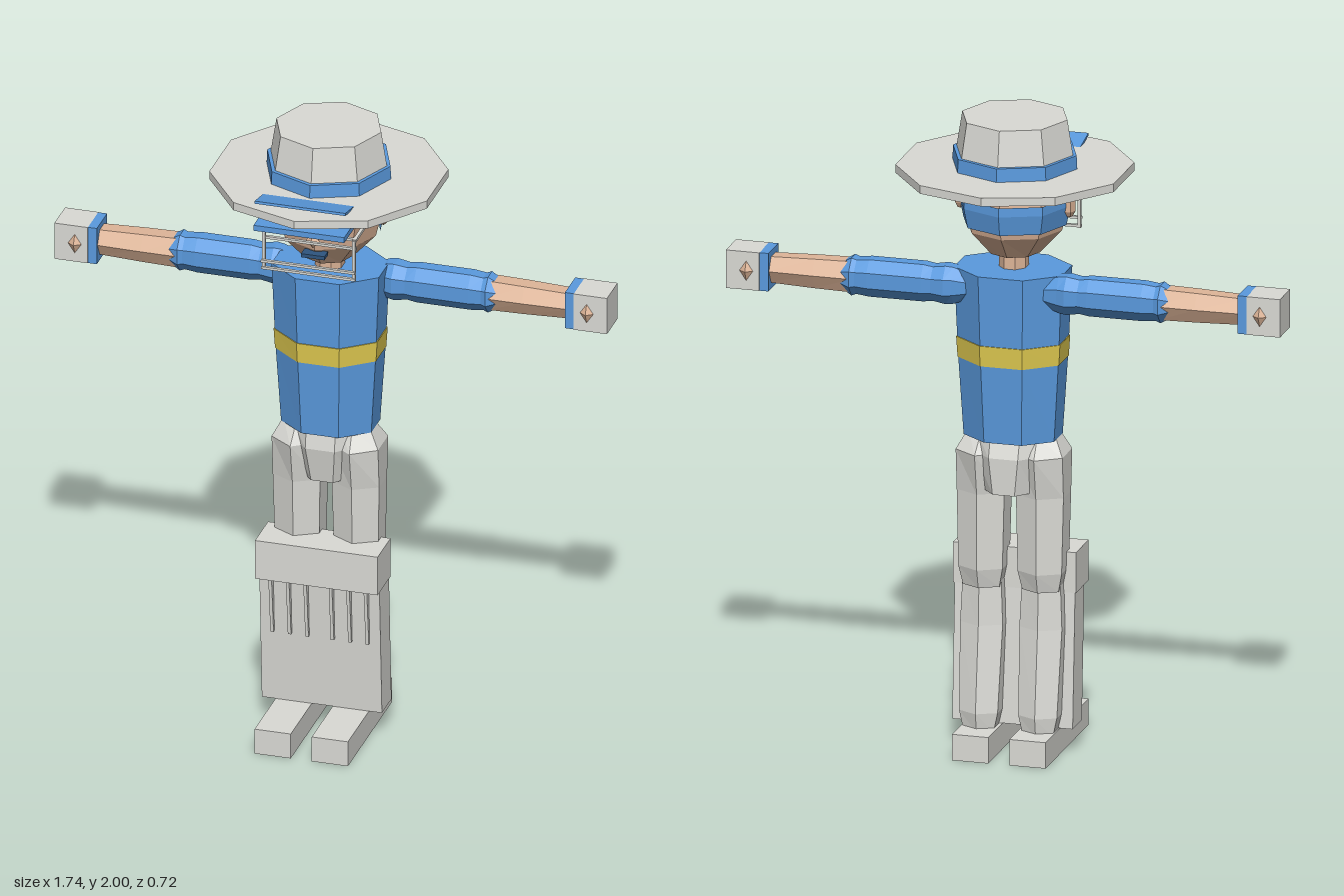
import * as THREE from 'three';

const mat = (name, color) => {
  const m = new THREE.MeshStandardMaterial({ color, flatShading: true });
  m.name = name;
  return m;
};

// Faceted tube through elliptical rings [y, rx, rz, cx, cz]; turn rotates the corners
function loft(rings, n, turn = Math.PI / n) {
  const pos = [], idx = [];
  for (const [y, rx, rz, cx = 0, cz = 0] of rings)
    for (let i = 0; i < n; i++) {
      const a = turn + (i / n) * Math.PI * 2;
      pos.push(cx + rx * Math.sin(a), y, cz + rz * Math.cos(a));
    }
  const last = (rings.length - 1) * n;
  for (let r = 0; r < last; r += n)
    for (let i = 0; i < n; i++) {
      const j = (i + 1) % n;
      idx.push(r + i, r + j, r + n + i, r + j, r + n + j, r + n + i);
    }
  for (let i = 1; i < n - 1; i++) {
    idx.push(0, i + 1, i);
    idx.push(last, last + i, last + i + 1);
  }
  const g = new THREE.BufferGeometry();
  g.setAttribute('position', new THREE.Float32BufferAttribute(pos, 3));
  g.setIndex(idx);
  g.computeVertexNormals();
  return g;
}

export function createModel() {
  const root = new THREE.Group();
  root.name = 'cricketer';
  const white = mat('offWhite', 0xdadad5);
  const blue = mat('blue', 0x5a9ade);
  const yellow = mat('yellow', 0xe0ca50);
  const skin = mat('skin', 0xdfb699);
  const dark = mat('dark', 0x26262a);
  const eyeWhite = mat('eyeWhite', 0xf0f0f0);
  const iris = mat('iris', 0x5c6672);
  const navy = mat('mouthBlue', 0x2f5680);

  const add = (name, geo, material, parent = root) => {
    const m = new THREE.Mesh(geo, material);
    m.name = name;
    parent.add(m);
    return m;
  };
  // Box given by its limits on each axis
  const box = (name, material, x0, x1, y0, y1, z0, z1, parent = root) => {
    const m = add(name, new THREE.BoxGeometry(x1 - x0, y1 - y0, z1 - z0), material, parent);
    m.position.set((x0 + x1) / 2, (y0 + y1) / 2, (z0 + z1) / 2);
    return m;
  };

  // Shirt with a yellow band
  const c = 1 / Math.cos(Math.PI / 8);
  const ring = (y, hx, hz) => [y, hx * c, hz * c, 0, -0.018];
  add('shirtLower', loft([ring(1.0, 0.142, 0.112), ring(1.245, 0.157, 0.126)], 8), blue);
  add('shirtBand', loft([ring(1.245, 0.159, 0.128), ring(1.31, 0.163, 0.132)], 8), yellow);
  add('shirtUpper', loft([ring(1.31, 0.16, 0.129), ring(1.53, 0.169, 0.137)], 8), blue);

  // Trousers
  add('hips', loft([[0.835, 0.09, 0.105, 0, -0.025], [0.95, 0.12, 0.119, 0, -0.016],
    [1.02, 0.12, 0.1, 0, -0.01]], 8), white);

  // Neck, head and hat
  add('neck', loft([[1.52, 0.045, 0.05, 0, -0.01], [1.6, 0.045, 0.05, 0, -0.01]], 8), skin);
  add('head', loft([[1.575, 0.08, 0.085], [1.65, 0.148, 0.148], [1.73, 0.168, 0.168],
    [1.83, 0.16, 0.16]], 8, 0), skin);
  const backBand = add('backOfHeadBand', new THREE.LatheGeometry(
    [[0.162, 1.668], [0.175, 1.73], [0.174, 1.758]].map(p => new THREE.Vector2(...p)),
    4, Math.PI / 2, Math.PI), blue.clone());
  backBand.material = blue;
  blue.side = THREE.DoubleSide;
  add('hatBrim', loft([[1.822, 0.36, 0.36], [1.848, 0.36, 0.36]], 10, 0), white);
  add('hatBand', loft([[1.846, 0.196, 0.198], [1.89, 0.194, 0.196]], 8, 0), blue);
  add('hatCrown', loft([[1.846, 0.19, 0.19], [2.0, 0.165, 0.165]], 8, 0), white);

  // Raised brim plate and visor
  const plate = box('brimPlate', blue, -0.143, 0.143, 1.848, 1.856, 0.2, 0.3);
  plate.rotation.x = -0.2;
  box('visor', blue, -0.143, 0.143, 1.772, 1.79, 0.15, 0.31);

  // Face guard
  const guard = new THREE.Group();
  guard.name = 'faceGuard';
  root.add(guard);
  for (const [y, z] of [[1.728, 0.195], [1.7, 0.2], [1.625, 0.213], [1.6, 0.208]])
    box('guardBar', white, -0.148, 0.148, y - 0.004, y + 0.004, z - 0.005, z + 0.005, guard);

  // Nose and mouth
  const nose = add('nose', new THREE.OctahedronGeometry(1), skin);
  nose.scale.set(0.022, 0.025, 0.025);
  nose.position.set(0, 1.69, 0.165);
  box('mouth', navy, -0.037, 0.037, 1.63, 1.642, 0.13, 0.167);

  for (const s of [-1, 1]) {
    const side = s > 0 ? 'left' : 'right';
    const span = (a, b) => (s > 0 ? [a, b] : [-b, -a]);

    // Eyes and brows lie on the slanted front faces of the head
    const eye = new THREE.Group();
    eye.name = side + 'Eye';
    eye.position.set(s * 0.066, 1.737, 0.144);
    eye.rotation.y = s * Math.PI / 8;
    root.add(eye);
    const disc = (name, material, r, h, z) => {
      const m = add(name, new THREE.CylinderGeometry(r, r, 0.008, 8), material, eye);
      m.rotation.x = Math.PI / 2;
      m.scale.z = h;
      m.position.z = z;
    };
    disc('eyeWhite', eyeWhite, 0.043, 0.85, 0.006);
    disc('iris', iris, 0.026, 1.1, 0.01);
    disc('pupil', dark, 0.012, 1.2, 0.014);
    const brow = box('brow', dark, -0.042, 0.042, 0.066, 0.08, 0, 0.016, eye);
    brow.rotation.z = s * 0.12;

    // Ears
    const ear = add(side + 'Ear', loft([[-0.036, 0.009, 0.014], [-0.018, 0.018, 0.026],
      [0.018, 0.018, 0.026], [0.036, 0.009, 0.014]], 6), skin);
    ear.position.set(s * 0.172, 1.733, 0.002);

    // Face guard side rods
    box('guardUpright', white, ...span(0.137, 0.147), 1.595, 1.73, 0.2, 0.21, guard);
    box('guardArm', white, ...span(0.137, 0.147), 1.722, 1.732, 0.06, 0.205, guard);

    // Arm: built upright, then laid out sideways
    const arm = new THREE.Group();
    arm.name = side + 'Arm';
    arm.position.set(0, 1.475, -0.073);
    arm.rotation.z = -s * Math.PI / 2;
    root.add(arm);
    add('sleeve', loft([[0.12, 0.045, 0.04], [0.165, 0.062, 0.05], [0.19, 0.065, 0.058],
      [0.23, 0.058, 0.052], [0.26, 0.063, 0.054], [0.43, 0.063, 0.055], [0.47, 0.058, 0.052],
      [0.485, 0.064, 0.058], [0.515, 0.046, 0.044]], 8), blue, arm);
    add('forearm', loft([[0.48, 0.056, 0.05], [0.6, 0.053, 0.05], [0.75, 0.047, 0.046]], 6, 0),
      skin, arm);
    box('wristband', blue, -0.06, 0.06, 0.737, 0.767, -0.053, 0.053, arm);
    box('glove', white, -0.06, 0.06, 0.765, 0.87, -0.055, 0.055, arm);
    for (const z of [-1, 1]) {
      const stud = add('gloveStud', new THREE.OctahedronGeometry(1), skin, arm);
      stud.scale.set(0.031, 0.021, 0.015);
      stud.position.set(0, 0.806, z * 0.055);
    }

    // Legs and shoes
    const x = s * 0.093;
    add(side + 'Thigh', loft([[0.52, 0.066, 0.06, x, -0.015], [0.58, 0.08, 0.077, x, -0.014],
      [0.82, 0.086, 0.082, x, -0.01], [0.95, 0.086, 0.105, x, -0.01],
      [1.01, 0.055, 0.055, x * 0.95, -0.005]], 6, 0), white);
    add(side + 'Shin', loft([[0.07, 0.055, 0.045, x, -0.05], [0.13, 0.07, 0.062, x, -0.043],
      [0.4, 0.077, 0.066, x, -0.008], [0.54, 0.07, 0.062, x, -0.005]], 6, 0), white);
    box(side + 'Shoe', white, ...span(0.033, 0.147), 0, 0.082, -0.17, 0.285);

    // Raised ribs down the front of the pad, sinking into it
    for (const rx of [0.04, 0.095, 0.15]) {
      const rib = box('padRib', white, s * rx - 0.005, s * rx + 0.005, 0.32, 0.52, 0.075, 0.107);
      rib.rotation.x = 0.11;
    }
  }

  // Leg pad: thick knee roll above a leaning shin guard
  box('padKneeRoll', white, -0.193, 0.193, 0.508, 0.636, -0.004, 0.13);
  const shin = new THREE.BoxGeometry(0.378, 0.428, 0.098);
  const p = shin.attributes.position;
  for (let i = 0; i < p.count; i++) p.setZ(i, p.getZ(i) + p.getY(i) * 0.06);
  shin.computeVertexNormals();
  add('padShin', shin, white).position.set(0, 0.298, 0.036);

  return root;
}
